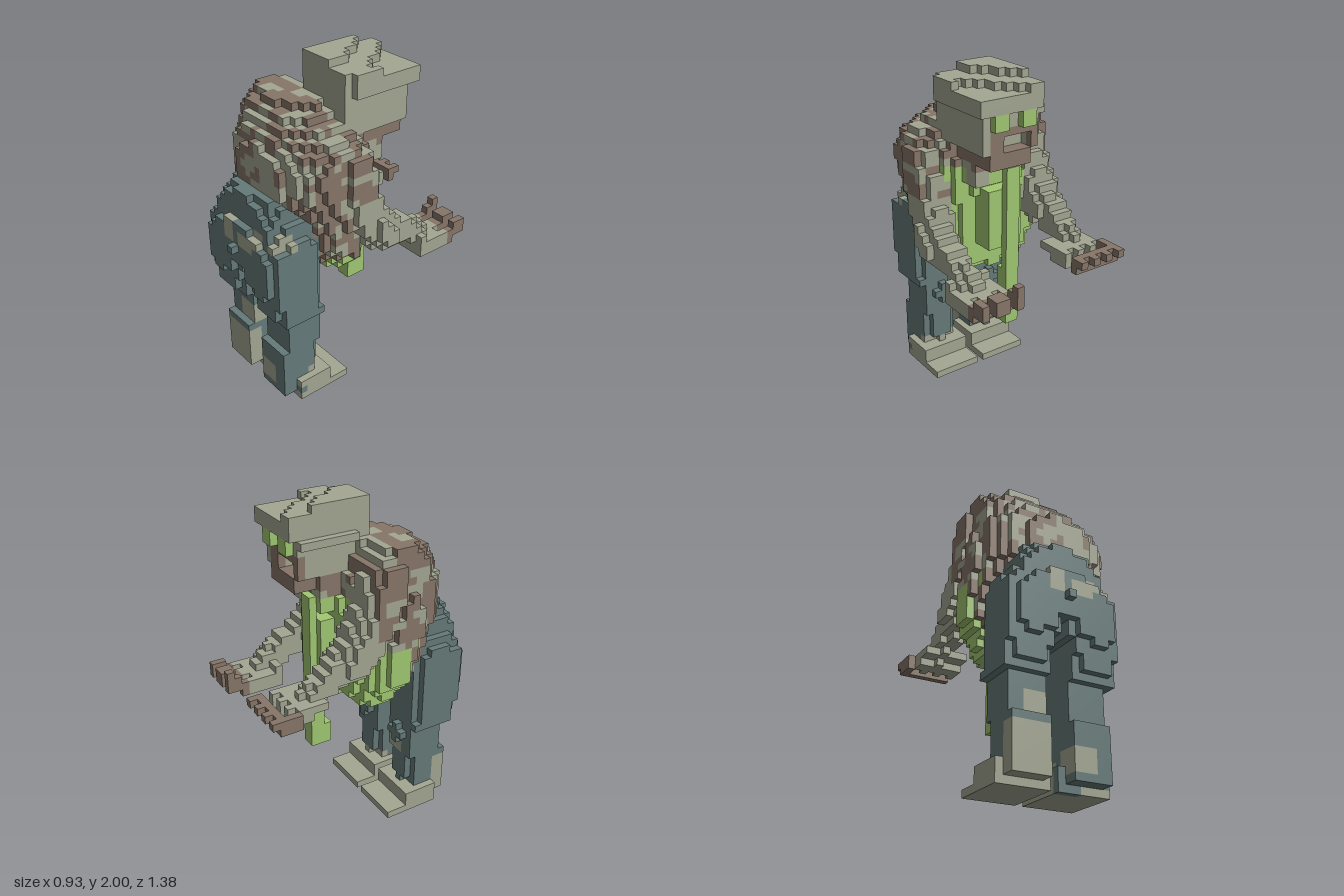
import * as THREE from 'three';

// Voxel figure: every part is filled into one grid by simple rules, then skinned
const U = 2 / 45, NX = 21, NY = 45, NZ = 31;
const center = (i, j, k) => [(i - 10) * U, (j + 0.5) * U, (k - 15) * U];
const mat = (name, color) => new THREE.MeshStandardMaterial({ name, color });

// Small blotchy pattern for the worn jacket
const blotch = (x, y, z) =>
  Math.sin(37 * x + 2 * Math.sin(23 * y)) + Math.sin(41 * y + 2 * Math.sin(19 * z + 13 * x)) + Math.sin(33 * z + 11 * x);
const near = (p, q, r) => Math.hypot(p[0] - q[0], p[1] - q[1], p[2] - q[2]) < r;

// Shape rules: each returns a test for a voxel centre
const box = (x0, x1, y0, y1, z0, z1) => (x, y, z) =>
  x > x0 && x < x1 && y > y0 && y < y1 && z > z0 && z < z1;

// Rows of [y, x0, x1, z0, z1], from low to high, with rounded cross-sections
const loft = (rows, power) => (x, y, z) => {
  for (let n = 0; n < rows.length - 1; n++) {
    const a = rows[n], b = rows[n + 1];
    if (y < a[0] || y > b[0]) continue;
    const t = (y - a[0]) / (b[0] - a[0]);
    const [, x0, x1, z0, z1] = a.map((v, m) => v + (b[m] - v) * t);
    const dx = Math.abs((2 * x - x0 - x1) / (x1 - x0)), dz = Math.abs((2 * z - z0 - z1) / (z1 - z0));
    return dx ** power + dz ** power < 1;
  }
  return false;
};

// Chain of [x, y, z, radius]
const limb = (pts) => {
  const v = new THREE.Vector3(), c = new THREE.Vector3();
  const segs = pts.slice(1).map((b, n) => ({
    line: new THREE.Line3(new THREE.Vector3(...pts[n].slice(0, 3)), new THREE.Vector3(...b.slice(0, 3))),
    r0: pts[n][3], r1: b[3],
  }));
  return (x, y, z) => segs.some(({ line, r0, r1 }) => {
    v.set(x, y, z);
    const t = line.closestPointToPointParameter(v, true);
    return line.at(t, c).distanceTo(v) < r0 + (r1 - r0) * t;
  });
};

export function createModel() {
  const M = {
    grey: mat('greyGreenSkin', 0xa3a792), brown: mat('brown', 0x877668),
    teal: mat('tealTrousers', 0x657a79), green: mat('brightGreen', 0xa1c872),
  };
  const cells = new Map();
  const key = (i, j, k) => (i < 0 || j < 0 || k < 0 || i >= NX || j >= NY || k >= NZ) ? -1 : (i * NY + j) * NZ + k;
  const fill = (part, inside, paint) => {
    for (let i = 0; i < NX; i++) for (let j = 0; j < NY; j++) for (let k = 0; k < NZ; k++) {
      const p = center(i, j, k);
      if (inside(...p)) cells.set(key(i, j, k), { part, color: typeof paint === 'string' ? paint : paint(...p), at: [i, j, k] });
    }
  };

  // Hunched torso: jacket over the back and sides, shirt at the front and belly
  const shoulderPatch = box(-0.38, -0.11, 1.55, 1.8, 0.02, 0.12);
  const shoulderBand = box(-0.43, -0.11, 1.55, 1.8, -0.03, 0.2);
  const camo = (x, y, z) => {
    if (shoulderPatch(x, y, z)) return 'grey';
    if (shoulderBand(x, y, z) || y < 0.9) return 'brown';
    let t = 0.3;
    if (y < 1.4 && Math.abs(x + 0.02) > 0.22 && z > 0.03) t = -1;
    if ((x < -0.27 && y > 1.3) || (x > 0.28 && z > 0.1)) t = -0.8;
    if (y > 1.67 && x < 0) t = -1;
    return blotch(x, y, z) > t ? 'brown' : 'grey';
  };
  fill('torso', loft([
    [0.79, -0.27, 0.21, -0.03, 0.23], [0.88, -0.33, 0.3, -0.08, 0.28], [1.0, -0.41, 0.35, -0.09, 0.35],
    [1.2, -0.42, 0.36, -0.09, 0.43], [1.33, -0.41, 0.38, -0.12, 0.53], [1.5, -0.4, 0.4, -0.1, 0.53],
    [1.6, -0.4, 0.36, -0.06, 0.48], [1.69, -0.39, 0.2, 0, 0.42], [1.78, -0.37, 0.05, 0.06, 0.28]], 2.1),
  (x, y, z) => {
    const shirt = (y < 0.9 && z < 0.18) || (z < 0.02 && y < 1.47) || (x < -0.1 && y < 1.22 && z < 0.18)
      || near([x, y, z], [-0.34, 1.19, 0.24], 0.06);
    return shirt ? 'green' : camo(x, y, z);
  });
  // Raised shirt front behind the tie
  fill('shirtFront', box(-0.111, 0.111, 0.98, 1.33, -0.2, -0.05), 'green');

  // Trousers: seat and two legs
  const patches = [[-0.11, 1.09, 0.62, 0.055], [0.05, 1.07, 0.62, 0.06], [0.12, 1.12, 0.6, 0.06], [0.25, 1.13, 0.54, 0.07]];
  const cloth = (x, y, z) => patches.some((q) => near([x, y, z], q, q[3])) ? 'grey' : 'teal';
  fill('trouserSeat', loft([
    [0.89, -0.38, 0.29, 0.28, 0.66], [1.06, -0.38, 0.29, 0.28, 0.65], [1.1, -0.35, 0.26, 0.27, 0.63],
    [1.22, -0.29, 0.21, 0.25, 0.61], [1.34, -0.22, 0.14, 0.25, 0.57]], 3.5), cloth);
  fill('trouserSeat', box(-0.067, -0.022, 0.97, 1.03, 0.6, 0.69), 'teal');

  const leg = loft([
    [0.04, -0.335, -0.109, 0.32, 0.57], [0.35, -0.335, -0.109, 0.29, 0.57], [0.37, -0.335, -0.109, 0.28, 0.52],
    [0.56, -0.34, -0.1, 0.27, 0.53], [0.6, -0.385, -0.1, 0.28, 0.57], [0.79, -0.385, -0.1, 0.28, 0.63],
    [0.81, -0.385, -0.06, 0.28, 0.66], [0.92, -0.385, -0.06, 0.28, 0.66]], 3);
  const legPaint = {
    right: (x, y, z) => y < (z > 0.45 ? 0.3 : 0.14) || (y > 0.36 && y < 0.48 && x > -0.25) ? 'grey' : 'teal',
    left: (x, y, z) => near([x, y, z], [0.08, 0.16, 0.5], 0.08) || (y < 0.2 && z < 0.4) ? 'grey' : 'teal',
  };
  for (const name of ['right', 'left']) {
    // The left side mirrors the right about the hips
    const side = (rule) => name === 'right' ? rule : (x, y, z) => rule(-2 * U - x, y, z);
    fill(name + 'Leg', side(leg), legPaint[name]);
    // Ragged knee
    fill(name + 'Leg', side(box(-0.245, -0.2, 0.44, 0.58, 0.24, 0.4)), 'teal');
    fill(name + 'Leg', side(box(-0.289, -0.156, 0.49, 0.535, 0.24, 0.4)), 'teal');
    // Long flat foot with a raised instep
    const blot = (x, y, z) => name === 'left' && z > 0.4 && blotch(x, y, z) > -0.6 ? 'teal' : 'grey';
    fill(name + 'Foot', side(box(-0.378, -0.067, 0, 0.045, 0.11, 0.467)), blot);
    fill(name + 'Foot', side(box(-0.378, -0.067, 0.04, 0.135, 0.245, 0.467)), blot);
  }

  // Arms reaching forward, the right one held higher
  const sleeve = (x, y, z) => y > 1.28 && z > -0.03 ? camo(x, y, z) : 'grey';
  fill('rightArm', limb([[-0.29, 1.61, 0.09, 0.135], [-0.29, 1.4, 0.03, 0.135], [-0.3, 1.18, -0.11, 0.12],
    [-0.31, 1.1, -0.27, 0.08], [-0.31, 1.01, -0.4, 0.06]]), sleeve);
  fill('leftArm', limb([[0.32, 1.46, 0.13, 0.12], [0.33, 1.2, 0.06, 0.11], [0.36, 1.04, -0.05, 0.1],
    [0.35, 0.99, -0.2, 0.08], [0.34, 0.89, -0.36, 0.06]]), sleeve);

  // Hands with separate brown-tipped fingers
  fill('rightHand', box(-0.422, -0.156, 0.975, 1.02, -0.51, -0.33), 'grey');
  fill('rightHand', box(-0.422, -0.156, 0.93, 1.02, -0.51, -0.42), 'grey');
  for (const x of [-0.467, -0.378, -0.289, -0.2]) {
    const outer = x < -0.4;
    fill('rightHand', box(x, x + U, 0.93, 1.02, outer ? -0.6 : -0.56, -0.5), outer ? 'brown' : 'grey');
    fill('rightHand', box(x, x + U, 0.975, 1.025, -0.69, -0.6), 'brown');
  }
  fill('rightHand', box(-0.467, -0.156, 0.93, 1.02, -0.645, -0.6), 'brown');
  fill('leftHand', box(0.2, 0.467, 0.8, 0.89, -0.467, -0.289), 'grey');
  fill('leftHand', box(0.2, 0.467, 0.88, 0.935, -0.333, -0.289), 'grey');
  for (const [x0, x1] of [[0.2, 0.245], [0.289, 0.378], [0.422, 0.467]]) {
    fill('leftHand', box(x0, x1, 0.8, 0.89, -0.56, -0.46), (x, y, z) => z < -0.51 ? 'brown' : 'grey');
    fill('leftHand', box(x0, x1, 0.84, 0.935, -0.645, -0.55), 'brown');
  }
  fill('leftHand', box(0.2, 0.245, 0.93, 1.0, -0.645, -0.6), 'brown');

  // Neck with an open collar, then the head
  fill('neck', box(-0.11, 0.2, 1.38, 1.6, -0.2, 0.1), (x, y, z) => {
    if (y < 1.47) return z < 0.02 && (z > -0.11 || x < 0.11) ? 'green' : 'grey';
    return blotch(x, y, z) > -0.5 ? 'brown' : 'grey';
  });
  fill('head', box(-0.111, 0.245, 1.6, 1.87, -0.333, 0.111), (x, y, z) =>
    (z < -0.29 && y < 1.73 && x < 0.2) || (y < 1.62 && z < 0.02 && x < 0.2) ? 'brown' : 'grey');
  fill('jaw', box(-0.067, 0.2, 1.51, 1.605, -0.333, 0.02), 'brown');
  for (const x of [0.111, -0.067]) fill('eye', box(x, x + 2 * U, 1.73, 1.82, -0.378, -0.32), 'green');

  // Open mouth cut into the face
  for (const [k, c] of cells) {
    if (box(-0.067, 0.111, 1.6, 1.69, -0.34, -0.24)(...center(...c.at))) cells.delete(k);
  }

  // Tilted cap: the crown drops in diagonal steps towards the brim
  const capTop = (x, z) => {
    const d = x - 0.8 * z;
    return d < 0.11 && x < 0.111 ? 2 : d < 0.27 ? 1.955 : 1.91;
  };
  fill('cap', (x, y, z) => y < capTop(x, z) && box(-0.111, 0.245, 1.82, 2, -0.333, 0.111)(x, y, z), 'grey');
  const brimFront = box(-0.111, 0.289, 1.82, 1.96, -0.378, -0.32);
  const brimSide = box(0.24, 0.289, 1.82, 1.96, -0.378, 0.067);
  fill('capBrim', (x, y, z) => y < capTop(x, z) + (z > -0.1 ? U : 0) && (brimFront(x, y, z) || brimSide(x, y, z)), 'grey');
  fill('capBrim', box(-0.156, -0.1, 1.77, 1.82, -0.333, 0.02), 'grey');

  // Hanging tie with a wider end
  fill('tie', box(-0.067, 0.022, 0.53, 1.47, -0.245, -0.2), 'green');
  fill('tie', box(-0.067, 0.022, 0.62, 0.85, -0.245, -0.156), 'green');
  fill('tie', box(-0.067, 0.022, 0.49, 0.62, -0.245, -0.111), 'green');

  // Skin the exposed faces, one mesh per part and colour
  const skins = new Map();
  for (const { part, color, at } of cells.values()) {
    for (let axis = 0; axis < 3; axis++) for (const dir of [1, -1]) {
      const next = [...at];
      next[axis] += dir;
      if (cells.has(key(...next))) continue;
      const id = part + ':' + color;
      if (!skins.has(id)) skins.set(id, { part, color, pos: [] });
      const c = center(...at), a = (axis + 1) % 3, b = (axis + 2) % 3;
      for (const [p, q] of [[-1, -1], [1, -1], [1, 1], [-1, -1], [1, 1], [-1, 1]]) {
        const v = [...c];
        v[axis] += dir * U / 2;
        v[a] += (dir > 0 ? p : q) * U / 2;
        v[b] += (dir > 0 ? q : p) * U / 2;
        skins.get(id).pos.push(...v);
      }
    }
  }
  const model = new THREE.Group();
  model.name = 'stoopedFigure';
  for (const { part, color, pos } of skins.values()) {
    const geo = new THREE.BufferGeometry();
    geo.setAttribute('position', new THREE.Float32BufferAttribute(pos, 3));
    geo.computeVertexNormals();
    const mesh = new THREE.Mesh(geo, M[color]);
    mesh.name = part;
    model.add(mesh);
  }
  return model;
}
